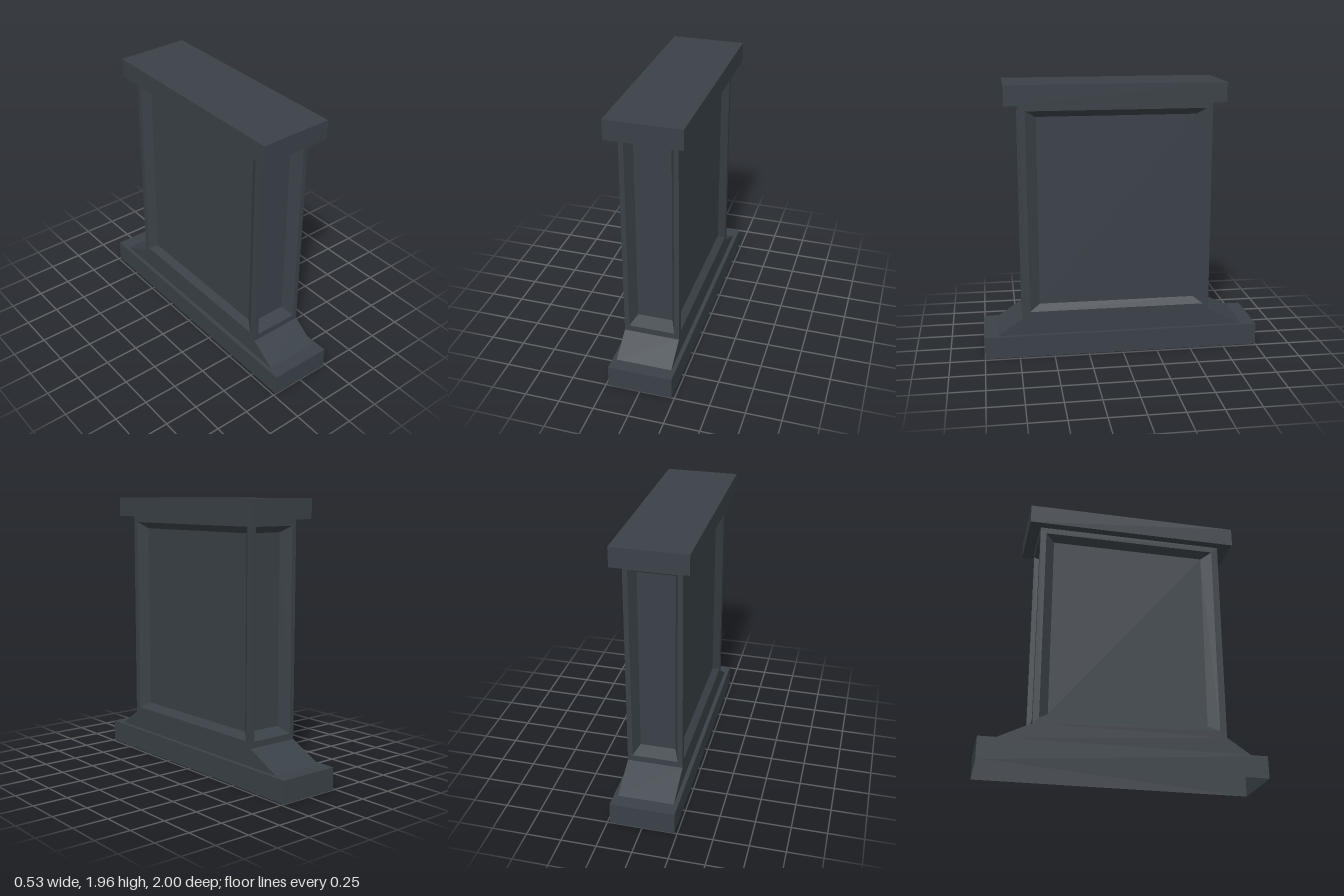
import * as THREE from 'three';

const slate = new THREE.MeshStandardMaterial({ color: 0x3a4147, side: THREE.DoubleSide });
slate.name = 'dark slate';

// Flat quads, corners counter-clockwise from outside
function quadMesh(name, quads) {
  const points = quads.flatMap(([a, b, c, d]) => [a, b, c, a, c, d]);
  const geometry = new THREE.BufferGeometry();
  geometry.setAttribute('position', new THREE.Float32BufferAttribute(points.flat(), 3));
  geometry.computeVertexNormals();
  const mesh = new THREE.Mesh(geometry, slate);
  mesh.name = name;
  return mesh;
}

// Four quads joining one four-cornered loop to the next
const band = (a, b) => a.map((p, i) => {
  const j = (i + 1) % 4;
  return [p, a[j], b[j], b[i]];
});

// Horizontal rectangular cross-section
const section = (x, front, back, y) => [[-x, y, front], [x, y, front], [x, y, back], [-x, y, back]];

// Wall with a framed, bevelled recess; place(u, y, depth) maps it into space
function panelWall(name, place, outer, rim, floor, depth) {
  const loop = ([u0, u1, y0, y1], d) =>
    [place(u0, y0, d), place(u1, y0, d), place(u1, y1, d), place(u0, y1, d)];
  const a = loop(outer, 0), b = loop(rim, 0), c = loop(floor, depth);
  return quadMesh(name, [...band(a, b), ...band(b, c), c]);
}

export function createModel() {
  const group = new THREE.Group();
  group.name = 'pedestal';

  const halfWidth = 0.2, front = 0.72, back = -0.64, low = 0.285, high = 1.82;
  const baseBottom = section(0.23, 1, -1, 0);
  const baseTop = section(0.23, 1, -1, 0.16);
  const footBottom = section(halfWidth, 0.905, -0.895, 0.16);
  const footTop = section(halfWidth, front, back, low);
  const bodyTop = section(halfWidth, front, back, high);
  const capBottom = section(0.263, 0.82, -0.723, high);
  const capTop = section(0.263, 0.82, -0.723, 1.96);

  // Hollow plinth, open underneath, and the sloping foot
  group.add(quadMesh('base', [...band(baseBottom, baseTop), ...band(baseTop, footBottom)]));
  group.add(quadMesh('slopedFoot', band(footBottom, footTop)));

  // Narrow end walls
  const endOuter = [-halfWidth, halfWidth, low, high];
  const endRim = [-0.165, 0.165, 0.33, 1.775];
  const endFloor = [-0.128, 0.128, 0.375, 1.73];
  group.add(panelWall('frontPanel', (u, y, d) => [u, y, front - d], endOuter, endRim, endFloor, 0.085));
  group.add(panelWall('backPanel', (u, y, d) => [-u, y, back + d], endOuter, endRim, endFloor, 0.085));

  // Wide side walls, mirrored
  for (const s of [1, -1]) {
    const span = (f, b, y0, y1) => (s > 0 ? [-f, -b, y0, y1] : [b, f, y0, y1]);
    group.add(panelWall(
      s > 0 ? 'leftPanel' : 'rightPanel',
      (u, y, d) => [s * (halfWidth - d), y, -s * u],
      span(front, back, low, high),
      span(0.672, -0.597, 0.33, 1.775),
      span(0.597, -0.533, 0.375, 1.73),
      0.045
    ));
  }

  // Overhanging cap
  group.add(quadMesh('cap', [...band(bodyTop, capBottom), ...band(capBottom, capTop), capTop]));
  return group;
}
